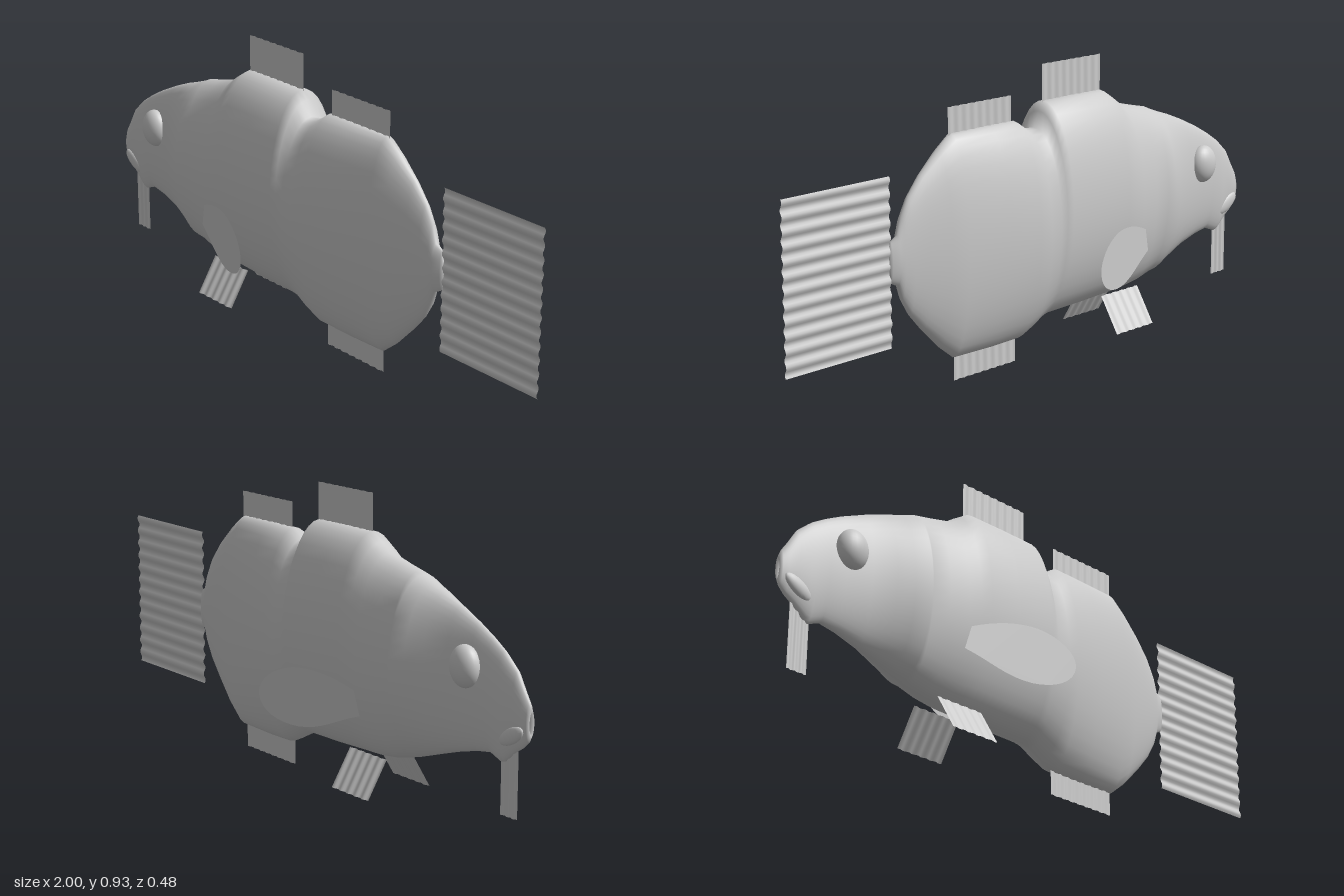
import * as THREE from 'three';

const skin = new THREE.MeshStandardMaterial({ color: 0xcccccc });
skin.name = 'pale grey skin';
const finSkin = new THREE.MeshStandardMaterial({ color: 0xcccccc, side: THREE.DoubleSide });
finSkin.name = 'pale grey fin';

// Cross-sections: x, top y, bottom y, half width
const SECTIONS = [
  [-0.955, 0.385, 0.37, 0.002], [-0.985, 0.405, 0.35, 0.006], [-1.0, 0.415, 0.345, 0.009],
  [-0.99, 0.44, 0.325, 0.014], [-0.97, 0.47, 0.305, 0.019], [-0.94, 0.52, 0.285, 0.024],
  [-0.9, 0.555, 0.25, 0.03], [-0.885, 0.567, 0.245, 0.032], [-0.84, 0.595, 0.262, 0.036],
  [-0.78, 0.627, 0.252, 0.042], [-0.7, 0.663, 0.23, 0.056], [-0.63, 0.69, 0.207, 0.088],
  [-0.58, 0.706, 0.19, 0.11], [-0.535, 0.722, 0.175, 0.132], [-0.515, 0.731, 0.169, 0.114],
  [-0.45, 0.745, 0.152, 0.12], [-0.38, 0.762, 0.143, 0.128], [-0.34, 0.79, 0.141, 0.132],
  [-0.3, 0.815, 0.14, 0.135], [-0.18, 0.816, 0.135, 0.135], [-0.04, 0.815, 0.132, 0.134],
  [-0.02, 0.785, 0.129, 0.128], [0, 0.736, 0.122, 0.121], [0.045, 0.74, 0.098, 0.124],
  [0.09, 0.77, 0.077, 0.121], [0.2, 0.771, 0.074, 0.107], [0.355, 0.77, 0.075, 0.08],
  [0.41, 0.73, 0.118, 0.067], [0.48, 0.668, 0.188, 0.046], [0.53, 0.61, 0.245, 0.033],
  [0.56, 0.555, 0.295, 0.025], [0.575, 0.5, 0.345, 0.021], [0.6, 0.485, 0.358, 0.012],
  [0.605, 0.43, 0.41, 0.001],
];

function mesh(name, geometry, material) {
  const m = new THREE.Mesh(geometry, material);
  m.name = name;
  return m;
}

// Skin stretched over elliptical sections
function loft(sections, sides) {
  const pos = [], index = [];
  sections.forEach(([x, top, bottom, w], i) => {
    for (let j = 0; j < sides; j++) {
      const a = (j / sides) * Math.PI * 2;
      pos.push(x, (top + bottom) / 2 + ((top - bottom) / 2) * Math.cos(a), w * Math.sin(a));
      if (i === sections.length - 1) continue;
      const p = i * sides + j, q = i * sides + ((j + 1) % sides);
      index.push(p, q, p + sides, q, q + sides, p + sides);
    }
  });
  const g = new THREE.BufferGeometry();
  g.setAttribute('position', new THREE.Float32BufferAttribute(pos, 3));
  g.setIndex(index);
  g.computeVertexNormals();
  return g;
}

// Rippled rectangular sheet; ripples run along the fin rays
function sheet(x0, x1, y0, y1, { rays = 8, alongX = false, amp = 0.0025, zTop = 0, zBottom = 0 } = {}) {
  const n = rays * 6;
  const g = new THREE.PlaneGeometry(1, 1, alongX ? 1 : n, alongX ? n : 1);
  const p = g.attributes.position;
  for (let i = 0; i < p.count; i++) {
    const u = p.getX(i) + 0.5, v = p.getY(i) + 0.5;
    const ripple = amp * Math.sin((alongX ? v : u) * rays * Math.PI * 2);
    p.setXYZ(i, x0 + (x1 - x0) * u, y0 + (y1 - y0) * v, zBottom + (zTop - zBottom) * v + ripple);
  }
  g.computeVertexNormals();
  return g;
}

// Leaf-shaped fin sweeping out from the flank
function pectoral(side) {
  const s = new THREE.Shape();
  s.moveTo(-0.4, 0.29);
  s.lineTo(-0.38, 0.365);
  s.bezierCurveTo(-0.3, 0.4, -0.23, 0.412, -0.17, 0.404);
  s.bezierCurveTo(-0.1, 0.39, -0.05, 0.35, -0.05, 0.305);
  s.bezierCurveTo(-0.055, 0.25, -0.12, 0.222, -0.19, 0.223);
  s.bezierCurveTo(-0.27, 0.225, -0.32, 0.265, -0.4, 0.29);
  const g = new THREE.ShapeGeometry(s, 8);
  const p = g.attributes.position;
  for (let i = 0; i < p.count; i++) p.setZ(i, side * (0.126 + (p.getX(i) + 0.4) * 0.325));
  g.computeVertexNormals();
  return g;
}

export function createModel() {
  const fish = new THREE.Group();
  fish.name = 'fish';

  fish.add(mesh('body', loft(SECTIONS, 40), skin));

  // Median fins, tail and barbel
  fish.add(mesh('frontDorsalFin', sheet(-0.3, -0.035, 0.79, 0.93), finSkin));
  fish.add(mesh('rearDorsalFin', sheet(0.1, 0.365, 0.75, 0.85), finSkin));
  fish.add(mesh('analFin', sheet(0.085, 0.35, 0, 0.1), finSkin));
  fish.add(mesh('tailFin', sheet(0.6, 1, 0.16, 0.68, { rays: 12, alongX: true, amp: 0.004 }), finSkin));
  fish.add(mesh('barbel', sheet(-0.95, -0.88, 0.09, 0.3, { rays: 3 }), finSkin));

  // Paired parts
  for (const [label, side] of [['left', 1], ['right', -1]]) {
    const eye = mesh(label + 'Eye', new THREE.SphereGeometry(1, 24, 16), skin);
    eye.scale.set(0.053, 0.063, 0.038);
    eye.position.set(-0.77, 0.505, side * 0.044);
    fish.add(eye);

    // Fold at the corner of the mouth
    const lip = mesh(label + 'MouthCorner', new THREE.SphereGeometry(1, 16, 12), skin);
    lip.scale.set(0.055, 0.024, 0.012);
    lip.position.set(-0.935, 0.335, side * 0.018);
    lip.rotation.z = -0.5;
    fish.add(lip);

    fish.add(mesh(label + 'PectoralFin', pectoral(side), finSkin));
    fish.add(mesh(label + 'PelvicFin', sheet(-0.435, -0.26, 0.035, 0.15,
      { rays: 5, zTop: side * 0.05, zBottom: side * 0.12 }), finSkin));
  }
  return fish;
}
